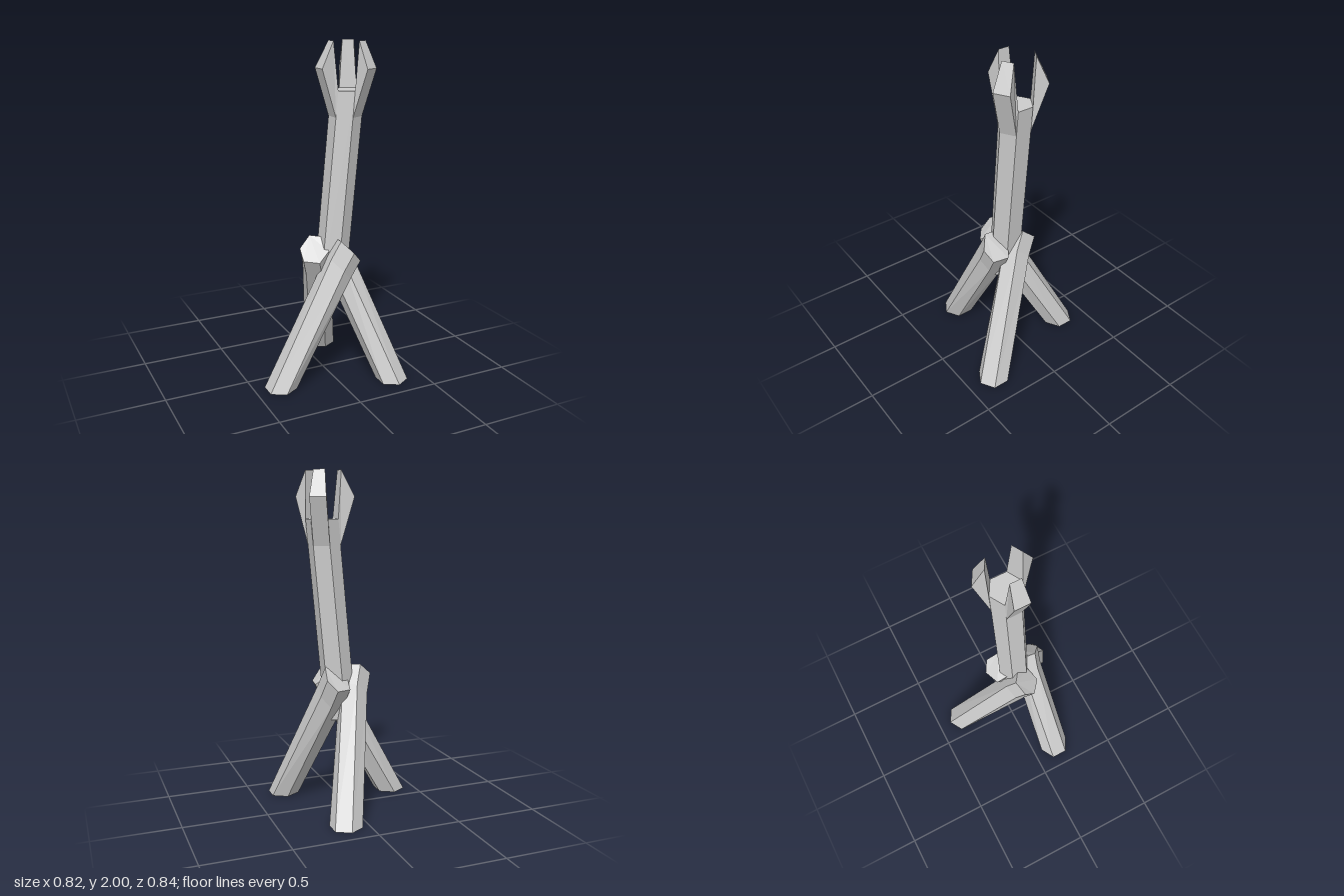
import * as THREE from 'three';

const material = new THREE.MeshStandardMaterial({ color: 0xcccccc, flatShading: true });

// Skin a closed solid through rings of [x, y, z] points (counter-clockwise seen from the last ring)
function loft(name, rings) {
  const n = rings[0].length;
  const index = [];
  for (let r = 0; r < rings.length - 1; r++) {
    for (let i = 0; i < n; i++) {
      const a = r * n + i, b = r * n + (i + 1) % n;
      index.push(a, b, b + n, a, b + n, a + n);
    }
  }
  const top = (rings.length - 1) * n;
  for (let i = 1; i < n - 1; i++) {
    index.push(0, i + 1, i, top, top + i, top + i + 1);
  }
  const indexed = new THREE.BufferGeometry();
  indexed.setAttribute('position', new THREE.Float32BufferAttribute(rings.flat(2), 3));
  indexed.setIndex(index);
  const geometry = indexed.toNonIndexed();
  geometry.computeVertexNormals();
  const mesh = new THREE.Mesh(geometry, material);
  mesh.name = name;
  return mesh;
}

const RADIUS = 0.096, APOTHEM = 0.083, HALF_SIDE = 0.048;
const POST_Z = 0.04;
const postX = (y) => 0.122 + 0.093 * (y - 1.57); // the post leans towards +x

function hexRing(x, y, z, start) {
  return Array.from({ length: 6 }, (_, i) => {
    const a = start - i * Math.PI / 3;
    return [x + RADIUS * Math.cos(a), y, z + RADIUS * Math.sin(a)];
  });
}

// One claw prong growing out of a face of the post
function prong(angle) {
  const c = Math.cos(angle), s = Math.sin(angle);
  // [centre x, distance outwards, height, half width]
  const profile = [
    [postX(1.57), APOTHEM, 1.57, HALF_SIDE],
    [0.125, 0.172, 1.845, HALF_SIDE],
    [0.13, 0.101, 1.995, 0.033],
    [postX(1.72), APOTHEM, 1.72, HALF_SIDE],
  ];
  const side = (k) => profile.map(([x, d, y, w]) =>
    [x + d * c - k * w * s, y, POST_Z + d * s + k * w * c]);
  return loft('prong', [side(-1), side(1)]);
}

// One skewed hexagonal leg: flat foot, long shaft, bent end with a slanted cap
function leg() {
  const foot = hexRing(-0.377, 0, 0.101, Math.PI * 5 / 6);
  const cap = [
    [0.002, 0.865, 0.129], [0.062, 0.80, 0.18], [0.118, 0.738, 0.152],
    [0.132, 0.735, 0.056], [0.07, 0.79, 0.008], [0.011, 0.86, 0.04],
  ];
  const bend = cap.map(([x, y, z]) => [x - 0.06, y - 0.108, z - 0.01]);
  return loft('leg', [foot, bend, cap]);
}

export function createModel() {
  const model = new THREE.Group();
  model.name = 'tripodStand';

  // Leaning post
  model.add(loft('post', [0.54, 1.72].map((y) => hexRing(postX(y), y, POST_Z, Math.PI / 2))));

  // Three-pronged claw on top
  const claw = new THREE.Group();
  claw.name = 'claw';
  for (const degrees of [180, 60, -60]) claw.add(prong(THREE.MathUtils.degToRad(degrees)));
  model.add(claw);

  // Three legs crossing around the foot of the post
  const tripod = new THREE.Group();
  tripod.name = 'tripod';
  tripod.position.set(0.03, 0, 0.05);
  for (let i = 0; i < 3; i++) {
    const part = leg();
    part.rotation.y = i * Math.PI * 2 / 3;
    tripod.add(part);
  }
  model.add(tripod);

  return model;
}
